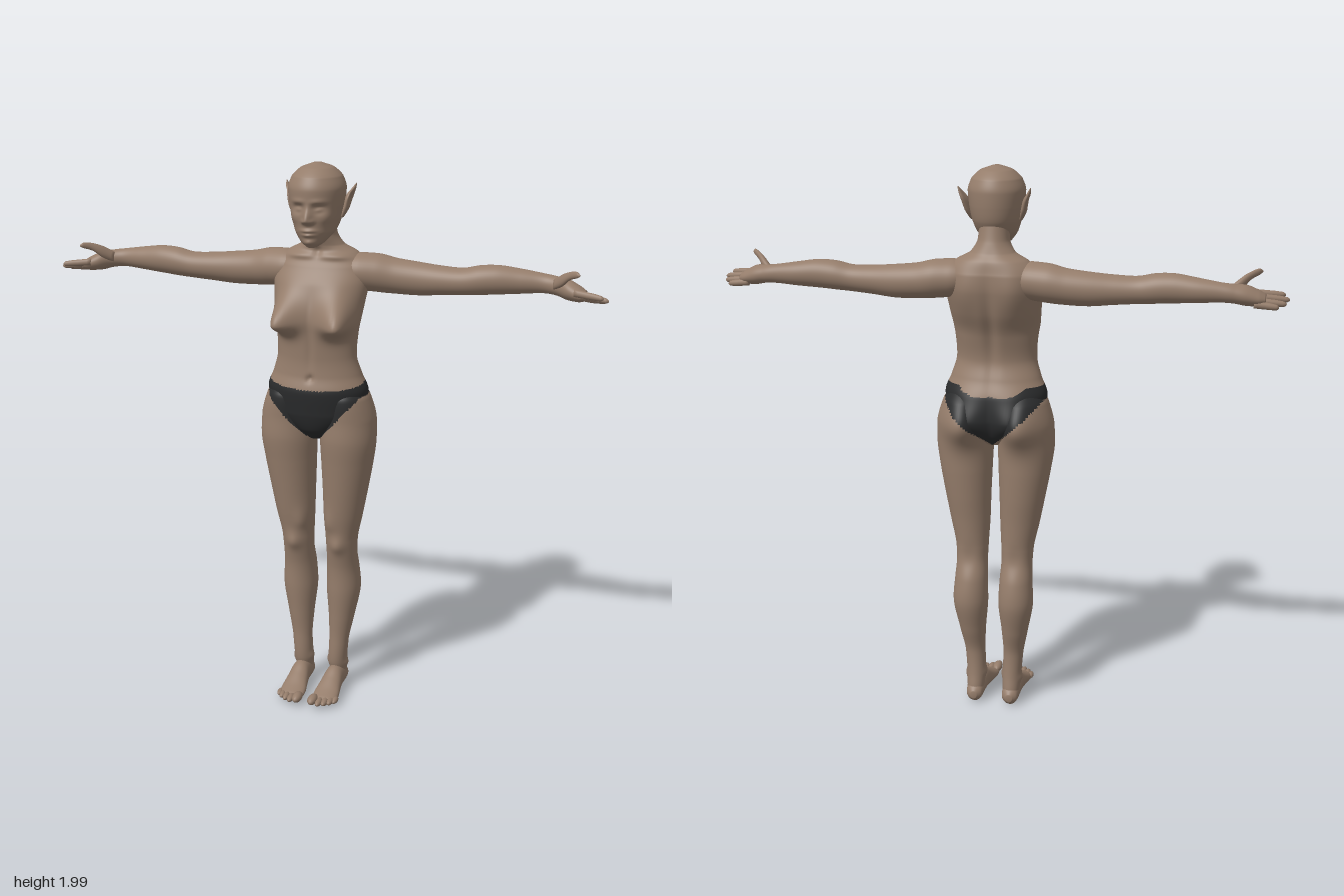
import * as THREE from 'three';

const skin = new THREE.MeshStandardMaterial({ color: 0x957d6b });
skin.name = 'skin';
const cloth = new THREE.MeshStandardMaterial({ color: 0x2a2b2c });
cloth.name = 'dark cloth';

// Smooth closed loft; sections are [x, y, z, ra, rb], ascending along the axis
function loft(axis, sections, rings = 40, sides = 32, bumps = []) {
  const centre = new THREE.CatmullRomCurve3(sections.map(s => new THREE.Vector3(s[0], s[1], s[2])));
  const radius = new THREE.CatmullRomCurve3(sections.map(s => new THREE.Vector3(s[3], s[4], 0)));
  const pos = [], index = [];
  for (let i = 0; i <= rings + 2; i++) {
    const t = THREE.MathUtils.clamp((i - 1) / rings, 0, 1);
    const open = i === 0 || i === rings + 2 ? 0 : 1; // end rings close to a point
    const c = centre.getPoint(t), r = radius.getPoint(t);
    for (let j = 0; j < sides; j++) {
      const a = (j / sides) * Math.PI * 2;
      const u = open * r.x * Math.cos(a), v = open * r.y * Math.sin(a);
      const p = c.clone();
      if (axis === 'y') { p.x += u; p.z -= v; }
      if (axis === 'x') { p.y += u; p.z += v; }
      if (axis === 'z') { p.x += u; p.y += v; }
      swell(p, bumps);
      pos.push(p.x, p.y, p.z);
      if (i < rings + 2) {
        const k = (j + 1) % sides, n = i * sides;
        index.push(n + j, n + k, n + sides + k, n + j, n + sides + k, n + sides + j);
      }
    }
  }
  const g = new THREE.BufferGeometry();
  g.setAttribute('position', new THREE.Float32BufferAttribute(pos, 3));
  g.setIndex(index);
  g.computeVertexNormals();
  return g;
}

// Soft mirrored bumps: at = centre, r = [x, up, down, z] reach, by = push
function swell(p, bumps) {
  const side = p.x < 0 ? -1 : 1, q = p.clone();
  for (const { at, r, by } of bumps) {
    const dx = (Math.abs(q.x) - at[0]) / r[0];
    const dy = (q.y - at[1]) / (q.y > at[1] ? r[1] : r[2]);
    const dz = (q.z - at[2]) / r[3];
    const w = Math.exp(-(dx * dx + dy * dy + dz * dz));
    p.x += side * by[0] * w;
    p.y += by[1] * w;
    p.z += by[2] * w;
  }
}

// Area covered by the briefs
function inBriefs(x, y, z) {
  const ax = Math.abs(x);
  const top = z > 0 ? 1.235 - 0.2 * z : 1.237 - 0.75 * Math.max(0, -z - 0.09);
  const low = z > -0.03 ? 1.0 + 1.1 * ax : 1.02 + 0.95 * ax;
  return y < top && y > Math.min(low, 1.19);
}

// Sort triangles into skin and cloth groups
function paint(g) {
  const p = g.attributes.position, idx = g.index.array, a = [], b = [];
  for (let i = 0; i < idx.length; i += 3) {
    const t = [idx[i], idx[i + 1], idx[i + 2]];
    const m = f => (f(t[0]) + f(t[1]) + f(t[2])) / 3;
    const inside = inBriefs(m(k => p.getX(k)), m(k => p.getY(k)), m(k => p.getZ(k)));
    (inside ? b : a).push(...t);
  }
  g.setIndex([...a, ...b]);
  g.clearGroups();
  g.addGroup(0, a.length, 0);
  g.addGroup(a.length, b.length, 1);
  return g;
}

function mirrored(g) {
  const m = g.clone(), idx = m.index.array;
  m.scale(-1, 1, 1);
  for (let i = 0; i < idx.length; i += 3) [idx[i + 1], idx[i + 2]] = [idx[i + 2], idx[i + 1]];
  m.computeVertexNormals();
  return m;
}

export function createModel() {
  const model = new THREE.Group();
  model.name = 'figure';
  const add = (name, g, mat = skin) => {
    const mesh = new THREE.Mesh(g, mat);
    mesh.name = name;
    model.add(mesh);
  };
  const addPair = (name, g, mat) => {
    add('left' + name, g, mat);
    add('right' + name, mirrored(g), mat);
  };

  const glute = { at: [0.092, 1.1, -0.14], r: [0.075, 0.085, 0.075, 0.09], by: [0, 0, -0.05] };

  // Torso and neck
  const torso = loft('y', [
    [0, 1.02, -0.02, 0.035, 0.055], [0, 1.06, -0.018, 0.1, 0.09],
    [0, 1.12, -0.018, 0.172, 0.11], [0, 1.2, -0.014, 0.184, 0.114],
    [0, 1.26, -0.01, 0.163, 0.097], [0, 1.33, -0.002, 0.144, 0.086],
    [0, 1.42, -0.01, 0.148, 0.097], [0, 1.5, -0.03, 0.16, 0.108],
    [0, 1.58, -0.05, 0.172, 0.105], [0, 1.64, -0.068, 0.168, 0.088],
    [0, 1.685, -0.074, 0.125, 0.07], [0, 1.71, -0.066, 0.078, 0.062],
    [0, 1.75, -0.052, 0.055, 0.06], [0, 1.84, -0.035, 0.05, 0.055],
  ], 150, 96, [
    glute,
    { at: [0.085, 1.463, 0.07], r: [0.052, 0.075, 0.045, 0.1], by: [0.028, -0.012, 0.085] }, // bust
    { at: [0, 1.255, 0.085], r: [0.009, 0.012, 0.012, 0.04], by: [0, 0, -0.012] }, // navel
    { at: [0, 1.36, 0.085], r: [0.012, 0.1, 0.08, 0.05], by: [0, 0, -0.005] }, // midline
    { at: [0, 1.42, -0.12], r: [0.022, 0.2, 0.16, 0.07], by: [0, 0, 0.014] }, // spine
    { at: [0.085, 1.58, -0.14], r: [0.05, 0.08, 0.09, 0.06], by: [0, 0, -0.014] }, // shoulder blades
    { at: [0.08, 1.675, 0], r: [0.07, 0.012, 0.012, 0.05], by: [0, 0, 0.012] }, // collar bones
    { at: [0, 1.69, 0], r: [0.014, 0.018, 0.018, 0.04], by: [0, 0, -0.01] }, // throat hollow
  ]);
  add('torso', paint(torso), [skin, cloth]);

  // Head with modelled face
  add('head', loft('y', [
    [0, 1.716, 0.055, 0.016, 0.022], [0, 1.732, 0.044, 0.04, 0.044],
    [0, 1.77, 0.013, 0.07, 0.088], [0, 1.81, 0, 0.084, 0.104],
    [0, 1.86, -0.003, 0.094, 0.111], [0, 1.91, -0.003, 0.099, 0.113],
    [0, 1.952, -0.005, 0.086, 0.098], [0, 1.98, -0.006, 0.056, 0.064],
    [0, 1.995, -0.006, 0.014, 0.018],
  ], 100, 96, [
    { at: [0, 1.812, 0.105], r: [0.014, 0.035, 0.012, 0.05], by: [0, 0, 0.027] }, // nose
    { at: [0.015, 1.808, 0.1], r: [0.008, 0.009, 0.007, 0.04], by: [0, 0, 0.008] }, // nostrils
    { at: [0.036, 1.852, 0.1], r: [0.022, 0.014, 0.016, 0.05], by: [0, 0, -0.015] }, // eye sockets
    { at: [0.036, 1.848, 0.1], r: [0.014, 0.008, 0.008, 0.05], by: [0, 0, 0.009] }, // eyelids
    { at: [0.036, 1.874, 0.1], r: [0.025, 0.01, 0.008, 0.05], by: [0, 0, 0.005] }, // brows
    { at: [0, 1.776, 0.1], r: [0.024, 0.007, 0.005, 0.05], by: [0, 0, 0.009] }, // upper lip
    { at: [0, 1.762, 0.1], r: [0.02, 0.005, 0.007, 0.05], by: [0, 0, 0.009] }, // lower lip
    { at: [0, 1.736, 0.085], r: [0.02, 0.01, 0.012, 0.04], by: [0, 0, 0.009] }, // chin
    { at: [0.055, 1.82, 0.075], r: [0.022, 0.02, 0.02, 0.05], by: [0.003, 0, 0.004] }, // cheeks
  ]));

  // Pointed ears
  addPair('Ear', loft('y', [
    [0.085, 1.812, -0.012, 0.006, 0.01], [0.098, 1.845, -0.022, 0.011, 0.022],
    [0.108, 1.88, -0.03, 0.01, 0.027], [0.12, 1.91, -0.042, 0.006, 0.014],
    [0.126, 1.926, -0.05, 0.001, 0.002],
  ], 24, 20, [{ at: [0.115, 1.875, -0.022], r: [0.02, 0.025, 0.025, 0.012], by: [-0.009, 0, 0] }]));

  // Arms and palms
  addPair('Arm', loft('x', [
    [0.06, 1.625, -0.072, 0.04, 0.05], [0.14, 1.617, -0.076, 0.066, 0.072],
    [0.2, 1.613, -0.085, 0.067, 0.07], [0.26, 1.605, -0.09, 0.062, 0.062],
    [0.34, 1.6, -0.09, 0.058, 0.056], [0.42, 1.6, -0.084, 0.051, 0.052],
    [0.5, 1.602, -0.08, 0.047, 0.049], [0.56, 1.61, -0.082, 0.051, 0.051],
    [0.62, 1.614, -0.086, 0.05, 0.048], [0.7, 1.612, -0.095, 0.042, 0.041],
    [0.78, 1.609, -0.098, 0.033, 0.032], [0.82, 1.605, -0.09, 0.032, 0.036],
    [0.86, 1.598, -0.073, 0.034, 0.047], [0.9, 1.588, -0.06, 0.026, 0.046],
    [0.922, 1.584, -0.053, 0.016, 0.036],
  ], 100, 40));

  // Fingers: [base y, base z, tip x, tip y, tip z]
  const fingers = [
    [1.573, -0.094, 0.966, 1.563, -0.083], [1.58, -0.071, 0.99, 1.569, -0.052],
    [1.59, -0.047, 1.0, 1.578, -0.02], [1.598, -0.024, 0.985, 1.59, 0.004],
  ];
  fingers.forEach(([y, z, tx, ty, tz], i) => {
    const at = (f, r) => [0.885 + (tx - 0.885) * f, y + (ty - y) * f, z + (tz - z) * f, r, r];
    addPair('Finger' + (i + 1),
      loft('x', [at(0, 0.013), at(0.45, 0.012), at(0.65, 0.0115), at(0.92, 0.009), at(1, 0.003)], 16, 14));
  });
  addPair('Thumb', loft('x', [
    [0.81, 1.612, -0.07, 0.018, 0.018], [0.84, 1.632, -0.045, 0.021, 0.02],
    [0.87, 1.655, -0.018, 0.014, 0.014], [0.895, 1.664, 0.006, 0.011, 0.011],
    [0.906, 1.664, 0.016, 0.003, 0.003],
  ], 20, 16));

  // Legs
  const leg = loft('y', [
    [0.068, 0.02, -0.068, 0.028, 0.032], [0.068, 0.06, -0.062, 0.032, 0.038],
    [0.068, 0.11, -0.05, 0.035, 0.041], [0.073, 0.2, -0.047, 0.037, 0.039],
    [0.08, 0.3, -0.058, 0.049, 0.054], [0.085, 0.42, -0.067, 0.064, 0.07],
    [0.084, 0.5, -0.06, 0.06, 0.066], [0.084, 0.57, -0.042, 0.057, 0.061],
    [0.085, 0.63, -0.036, 0.06, 0.063], [0.092, 0.72, -0.03, 0.072, 0.073],
    [0.1, 0.82, -0.028, 0.083, 0.085], [0.107, 0.92, -0.025, 0.094, 0.095],
    [0.112, 1.02, -0.02, 0.102, 0.102], [0.112, 1.1, -0.024, 0.099, 0.104],
    [0.108, 1.18, -0.02, 0.079, 0.099], [0.1, 1.235, -0.02, 0.045, 0.055],
  ], 150, 72, [
    glute,
    { at: [0.084, 0.605, 0.025], r: [0.03, 0.035, 0.03, 0.04], by: [0, 0, 0.013] }, // kneecap
    { at: [0.055, 0.69, 0.03], r: [0.025, 0.05, 0.03, 0.04], by: [-0.003, 0, 0.006] }, // inner thigh
    { at: [0.084, 0.59, -0.1], r: [0.03, 0.05, 0.05, 0.04], by: [0, 0, 0.006] }, // knee hollow
    { at: [0.105, 0.1, -0.05], r: [0.02, 0.016, 0.016, 0.02], by: [0.007, 0, 0] }, // outer ankle
    { at: [0.033, 0.11, -0.045], r: [0.02, 0.016, 0.016, 0.02], by: [-0.006, 0, 0] }, // inner ankle
  ]);
  addPair('Leg', paint(leg), [skin, cloth]);

  // Feet
  addPair('Foot', loft('z', [
    [0.068, 0.034, -0.112, 0.012, 0.014], [0.068, 0.036, -0.095, 0.029, 0.032],
    [0.068, 0.046, -0.055, 0.034, 0.045], [0.067, 0.05, -0.005, 0.036, 0.048],
    [0.066, 0.038, 0.045, 0.042, 0.036], [0.065, 0.026, 0.09, 0.048, 0.024],
    [0.064, 0.02, 0.125, 0.045, 0.016], [0.06, 0.018, 0.142, 0.032, 0.01],
  ], 48, 32));

  // Toes: [x, z, width, length]
  const toes = [
    [0.03, 0.148, 0.018, 0.034], [0.055, 0.15, 0.0125, 0.03], [0.075, 0.142, 0.012, 0.028],
    [0.093, 0.13, 0.0115, 0.026], [0.108, 0.115, 0.011, 0.024],
  ];
  toes.forEach(([x, z, w, l], i) => {
    const g = new THREE.SphereGeometry(1, 16, 12);
    g.scale(w, w * 0.95, l);
    g.translate(x, w + 0.012, z);
    addPair('Toe' + (i + 1), g);
  });

  return model;
}
